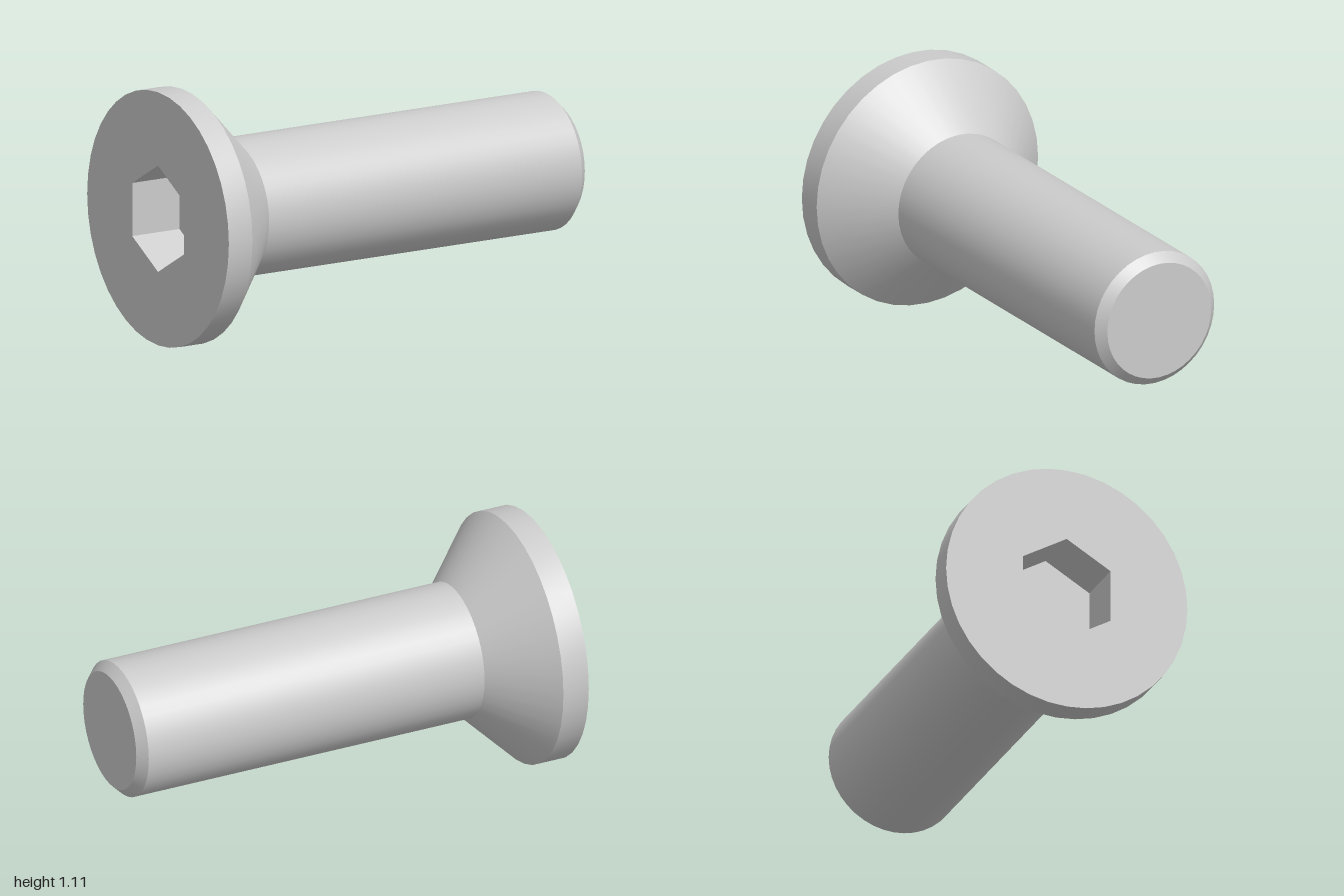
import * as THREE from 'three';
import { toCreasedNormals } from 'three/addons/utils/BufferGeometryUtils.js';

const SEGMENTS = 40;
const HEAD_RADIUS = 0.555;
const HEX_RADIUS = 0.233;
const RECESS_DEPTH = 0.24;

// Turns a profile of [radius, x] points around the x axis
function turned(profile, segments, phiStart = 0) {
  const points = profile.map(([r, x]) => new THREE.Vector2(r, x));
  const geometry = new THREE.LatheGeometry(points, segments, phiStart);
  geometry.rotateZ(-Math.PI / 2);
  return toCreasedNormals(geometry, 0.6);
}

function ring(radius, count, start = 0) {
  return Array.from({ length: count }, (_, i) => {
    const a = start + (i / count) * Math.PI * 2;
    return new THREE.Vector2(radius * Math.cos(a), radius * Math.sin(a));
  });
}

export function createModel() {
  const model = new THREE.Group();
  model.name = 'countersunkScrew';
  const material = new THREE.MeshStandardMaterial({ color: 0xcccccc });

  const add = (name, geometry) => {
    const mesh = new THREE.Mesh(geometry, material);
    mesh.name = name;
    mesh.position.y = HEAD_RADIUS;
    model.add(mesh);
  };

  // Head: short cylindrical rim, then a 45 degree cone down to the shank
  add('head', turned([[HEAD_RADIUS, -1], [HEAD_RADIUS, -0.88], [0.3, -0.63]], SEGMENTS));

  // Shank with chamfered tip and flat end
  add('shank', turned([[0.3, -0.63], [0.3, 0.96], [0.26, 1], [0, 1]], SEGMENTS));

  // Flat head face with the hexagonal opening
  const face = new THREE.Shape(ring(HEAD_RADIUS, SEGMENTS));
  face.holes.push(new THREE.Path(ring(HEX_RADIUS, 6, Math.PI / 2)));
  add('headFace', new THREE.ShapeGeometry(face).rotateY(-Math.PI / 2));
  model.getObjectByName('headFace').position.x = -1;

  // Hex socket: floor first, then walls facing inward
  const floor = -1 + RECESS_DEPTH;
  add('hexSocket', turned([[0, floor], [HEX_RADIUS, floor], [HEX_RADIUS, -1]], 6, Math.PI / 2));

  return model;
}
